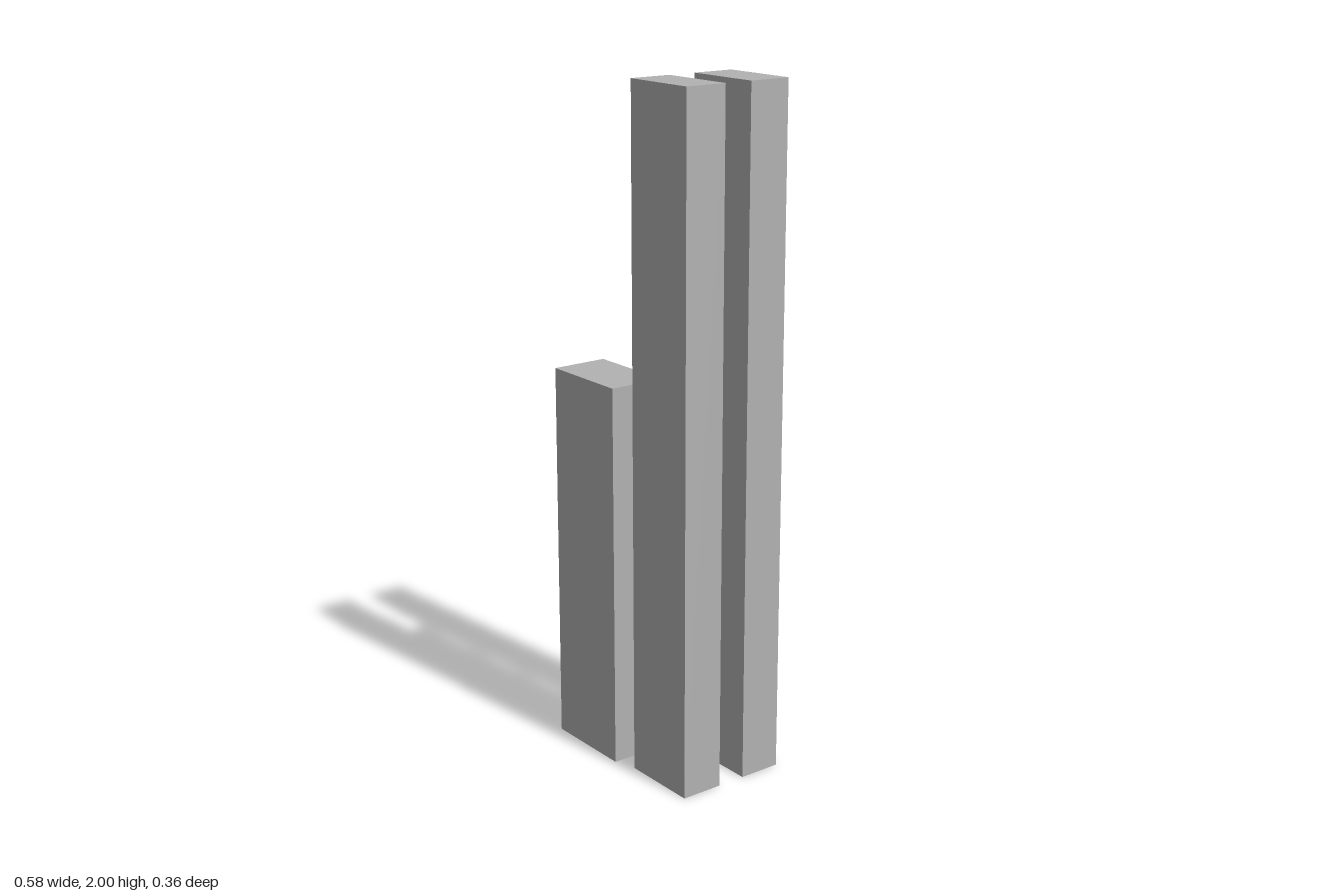
import * as THREE from 'three';

export function createModel() {
  const model = new THREE.Group();
  model.name = 'towerCluster';
  const grey = new THREE.MeshStandardMaterial({ color: 0xb2b2b2 });
  grey.name = 'grey';

  // A plain tower standing on the ground, centred on x, z
  function tower(name, width, height, depth, x, z) {
    const mesh = new THREE.Mesh(new THREE.BoxGeometry(width, height, depth), grey);
    mesh.name = name;
    mesh.position.set(x, height / 2, z);
    model.add(mesh);
  }

  // Twin tall towers
  tower('frontTallTower', 0.237, 2, 0.128, 0.1715, 0.095);
  tower('backTallTower', 0.237, 2, 0.128, 0.1715, -0.119);
  // Wider tower of medium height and the low block behind it
  tower('mediumTower', 0.279, 1.143, 0.17, -0.1515, 0.095);
  tower('lowBlock', 0.237, 0.426, 0.128, -0.1515, -0.119);

  return model;
}
